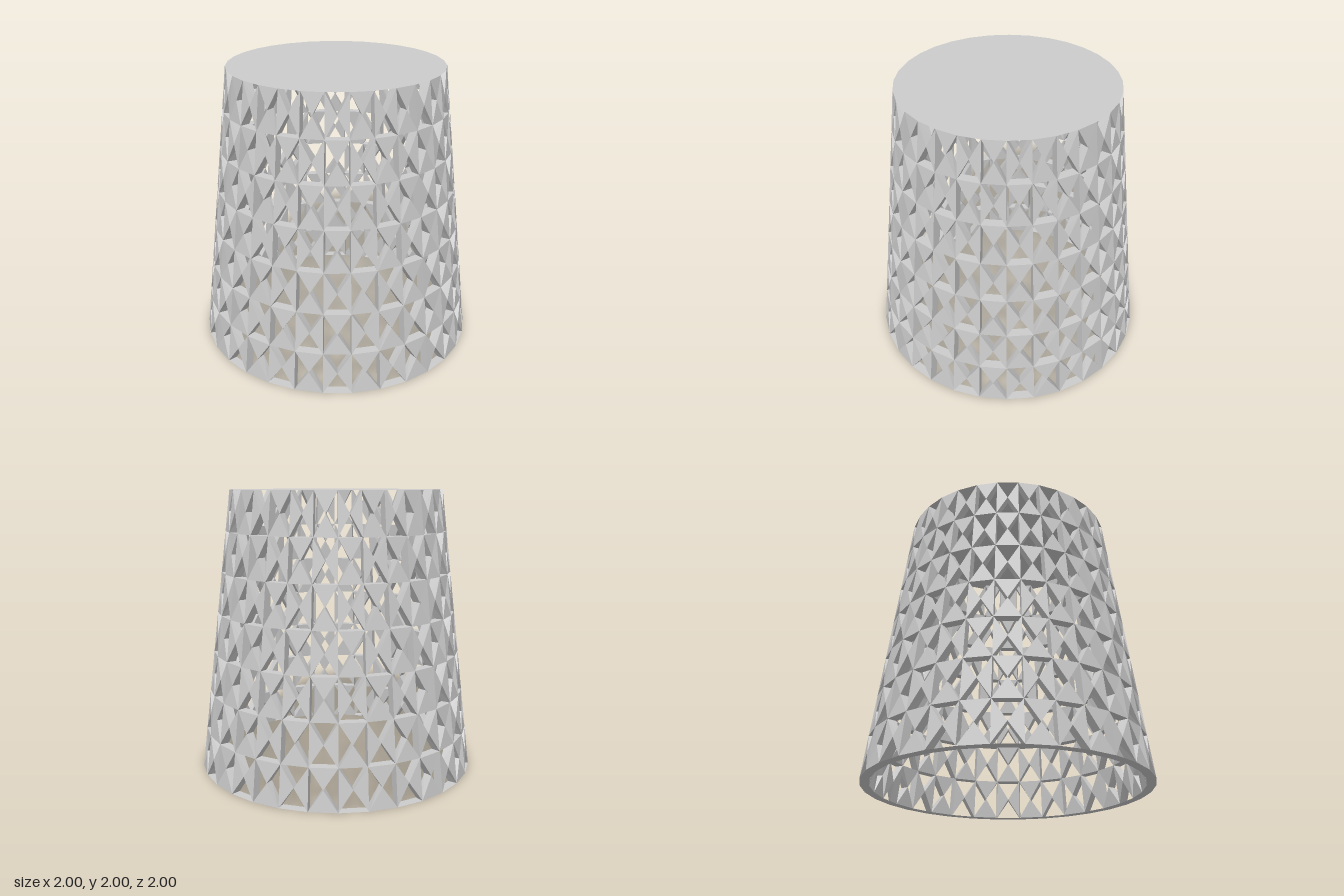
import * as THREE from 'three';

const SIDES = 32, ROWS = 7, HEIGHT = 2;
const R_BOTTOM = 1, R_TOP = 0.755, DEPTH = 0.065;

const material = new THREE.MeshStandardMaterial({
  color: 0xcccccc, flatShading: true, side: THREE.DoubleSide,
});

// Lattice corner on the tapered wall
function corner(i, j) {
  const a = (i / SIDES) * Math.PI * 2;
  const r = THREE.MathUtils.lerp(R_BOTTOM, R_TOP, j / ROWS);
  return new THREE.Vector3(r * Math.cos(a), (HEIGHT * j) / ROWS, r * Math.sin(a));
}

// Same point moved towards the axis by the wall depth
function inner(p) {
  const k = 1 - DEPTH / Math.hypot(p.x, p.z);
  return new THREE.Vector3(p.x * k, p.y, p.z * k);
}

// Collects triangles and turns them into a named flat-shaded mesh
class Surface {
  points = [];
  tri(a, b, c) { this.points.push(a, b, c); }
  // Radial strip behind one lattice edge
  strip(a, b) {
    const c = inner(b), d = inner(a);
    this.tri(a, b, c);
    this.tri(a, c, d);
  }
  // Outer and inner face of a filled triangle
  panel(a, b, c) {
    this.tri(a, b, c);
    this.tri(inner(c), inner(b), inner(a));
  }
  mesh(name) {
    const g = new THREE.BufferGeometry().setFromPoints(this.points);
    g.computeVertexNormals();
    const m = new THREE.Mesh(g, material);
    m.name = name;
    return m;
  }
}

export function createModel() {
  const group = new THREE.Group();
  group.name = 'taperedLattice';
  const rings = new Surface(), uprights = new Surface();
  const braces = new Surface(), panels = new Surface();

  for (let i = 0; i < SIDES; i++) {
    for (let j = 0; j <= ROWS; j++) {
      // Horizontal ring at every row line
      rings.strip(corner(i, j), corner(i + 1, j));
      if (j === ROWS) continue;

      // Cell corners, counter-clockwise from outside
      const cell = [corner(i + 1, j), corner(i, j), corner(i, j + 1), corner(i + 1, j + 1)];
      const mid = new THREE.Vector3();
      cell.forEach((p) => mid.addScaledVector(p, 0.25));

      // Upright and crossed braces
      uprights.strip(cell[1], cell[2]);
      cell.forEach((p) => braces.strip(p, mid));

      // Opposite triangles are filled, swapping in a checkerboard
      const first = (i + j) % 2;
      for (const k of [first, first + 2]) {
        panels.panel(cell[k], cell[(k + 1) % 4], mid);
      }
    }
  }

  group.add(
    rings.mesh('rings'), uprights.mesh('uprights'),
    braces.mesh('crossBraces'), panels.mesh('trianglePanels'),
  );

  // Closed top
  const cap = new THREE.Mesh(new THREE.CircleGeometry(R_TOP, SIDES), material);
  cap.name = 'topCap';
  cap.rotation.x = -Math.PI / 2;
  cap.position.y = HEIGHT;
  group.add(cap);
  return group;
}
